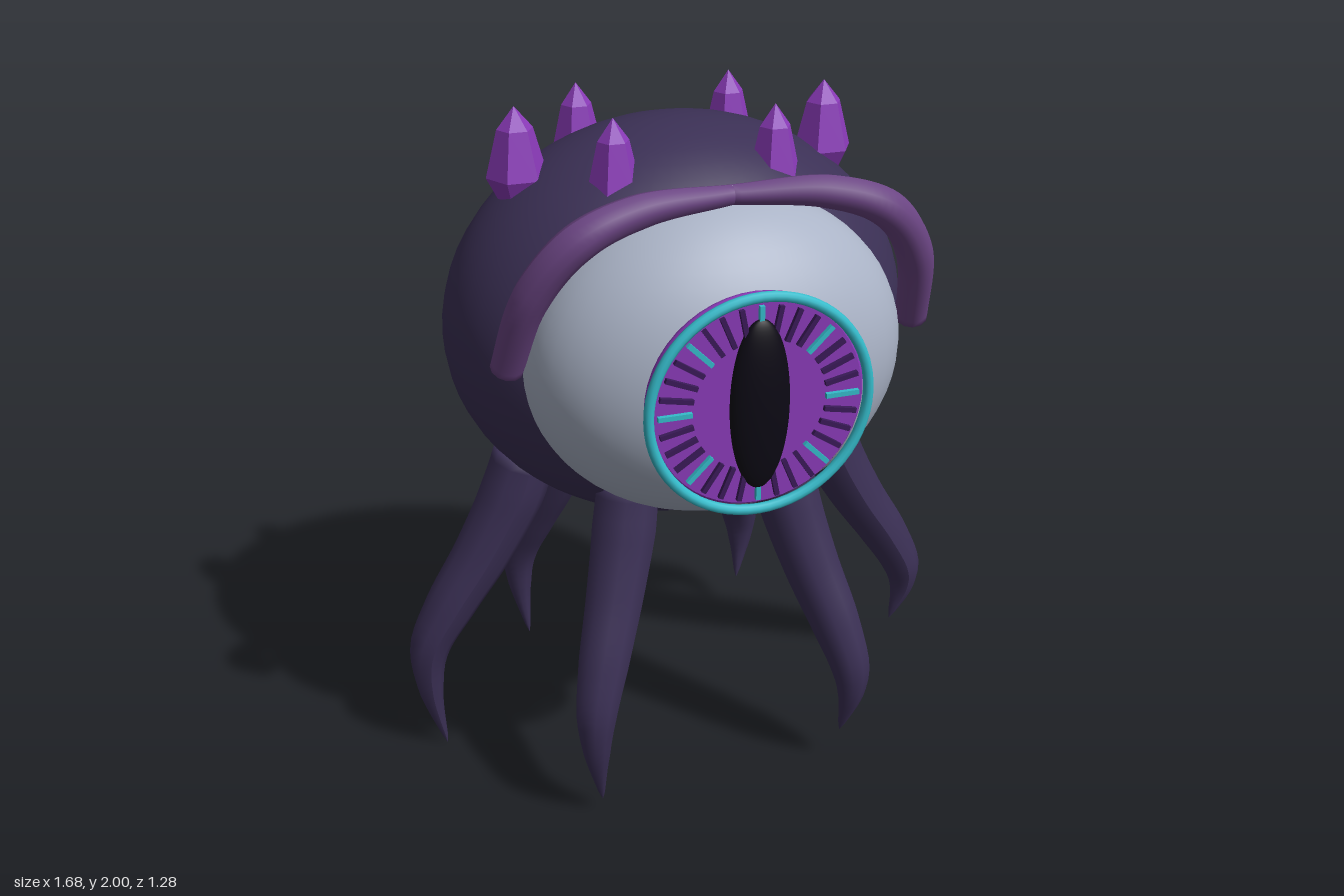
import * as THREE from 'three';

const mat = (color, flatShading = false) =>
  new THREE.MeshStandardMaterial({ color, flatShading, roughness: 0.7 });

const skin = mat(0x3b3055);
const browMat = mat(0x6b4583);
const crystal = mat(0x8a3ab8, true);
const irisMat = mat(0x8a3ab8);
const cyan = mat(0x35bccb);
const white = mat(0xaab3c6);
const black = mat(0x0c0914);
const rayDark = mat(0x3a1a58);

function add(parent, name, geometry, material, x = 0, y = 0, z = 0) {
  const mesh = new THREE.Mesh(geometry, material);
  mesh.name = name;
  mesh.position.set(x, y, z);
  parent.add(mesh);
  return mesh;
}

function ellipsoid(parent, name, material, center, radii) {
  const g = new THREE.SphereGeometry(1, 48, 32).scale(...radii);
  return add(parent, name, g, material, ...center);
}

// Tube through [x, y, z, radius] points; capStart / capEnd pinch the end rings shut
function taperedTube(points, segments, sides, capStart, capEnd) {
  const curve = new THREE.CatmullRomCurve3(points.map(p => new THREE.Vector3(p[0], p[1], p[2])));
  const g = new THREE.TubeGeometry(curve, segments, 1, sides);
  const pos = g.attributes.position;
  const v = new THREE.Vector3();
  for (let i = 0; i <= segments; i++) {
    const t = i / segments;
    const c = curve.getPointAt(t);
    const f = curve.getUtoTmapping(t) * (points.length - 1);
    const k = Math.min(Math.floor(f), points.length - 2);
    let r = THREE.MathUtils.lerp(points[k][3], points[k + 1][3], f - k);
    // second ring of a capped end sits on the end itself, so the cap stays flat
    if ((capStart && i === 0) || (capEnd && i === segments)) r = 0.0005;
    for (let j = 0; j <= sides; j++) {
      const n = i * (sides + 1) + j;
      v.fromBufferAttribute(pos, n).sub(c).multiplyScalar(r).add(c);
      pos.setXYZ(n, v.x, v.y, v.z);
    }
  }
  g.computeVertexNormals();
  return g;
}

export function createModel() {
  const model = new THREE.Group();
  model.name = 'eyeCreature';

  ellipsoid(model, 'body', skin, [0, 1.355, -0.11], [0.67, 0.585, 0.51]);

  // Eye: ball, iris with rims, slit pupil
  const eye = new THREE.Group();
  eye.name = 'eye';
  eye.position.set(0, 1.38, 0);
  model.add(eye);
  ellipsoid(eye, 'eyeball', white, [0, 0, 0.235], [0.525, 0.453, 0.34]);
  const disc = new THREE.CylinderGeometry(0.28, 0.28, 0.05, 48).rotateX(Math.PI / 2);
  add(eye, 'iris', disc, irisMat, 0, 0, 0.561);
  add(eye, 'irisRim', new THREE.TorusGeometry(0.268, 0.027, 12, 48), irisMat, 0, 0, 0.557);
  add(eye, 'outerRing', new THREE.TorusGeometry(0.295, 0.014, 10, 64), cyan, 0, 0, 0.597);
  ellipsoid(eye, 'pupil', black, [0, 0, 0.592], [0.08, 0.235, 0.037]);

  // Iris rays
  const rays = 32;
  for (let i = 0; i < rays; i++) {
    const a = (i / rays) * Math.PI * 2;
    const ray = add(eye, 'irisRay', new THREE.BoxGeometry(0.09, 0.013, 0.012),
      i % 4 === 0 ? cyan : rayDark, Math.cos(a) * 0.225, Math.sin(a) * 0.225, 0.592);
    ray.rotation.z = a;
  }

  // Brow: two mirrored halves meeting in the middle
  for (const s of [-1, 1]) {
    const path = [
      [0, 1.862, 0.365, 0.026],
      [0.25, 1.852, 0.39, 0.044],
      [0.41, 1.795, 0.403, 0.05],
      [0.52, 1.65, 0.355, 0.05],
      [0.578, 1.4, 0.25, 0.044],
    ].map(([x, y, z, r]) => [x * s, y, z, r]);
    add(model, s > 0 ? 'leftBrow' : 'rightBrow', taperedTube(path, 48, 12, false, true), browMat);
  }

  // Six-sided crystals on the crown
  const spikeProfile = [[0.055, -0.25], [0.085, -0.19], [0.05, -0.06], [0, 0]]
    .map(([r, y]) => new THREE.Vector2(r, y));
  for (const s of [-1, 1]) {
    for (const [x, z, w] of [[0.443, -0.115, 1], [0.225, -0.3, 0.87], [0.225, 0.075, 0.87]]) {
      const g = new THREE.LatheGeometry(spikeProfile, 6).rotateY(Math.PI / 6).scale(w, 1, w);
      add(model, 'crystalSpike', g, crystal, x * s, 2, z);
    }
  }

  // Tentacles: one radial profile spread around the body's oval
  const profile = [
    [0.45, 1.01, 0.09], [0.5, 0.86, 0.095], [0.6, 0.67, 0.085],
    [0.71, 0.5, 0.075], [0.783, 0.36, 0.06],
  ];
  for (let i = 0; i < 6; i++) {
    const a = (i / 6) * Math.PI * 2;
    const onSide = i % 3 === 0;
    const tip = Math.cos(a) > 0 ? (onSide ? 0.155 : 0.115) : (onSide ? 0 : 0.04);
    const points = [...profile, [0.79, 0.36 - (0.36 - tip) * 0.4, 0.04], [0.752, tip, 0.004]]
      .map(([d, y, r]) => [d * Math.cos(a), y, d * Math.sin(a) * 0.715 - 0.11, r]);
    add(model, 'tentacle', taperedTube(points, 32, 10, true, true), skin);
  }

  return model;
}
